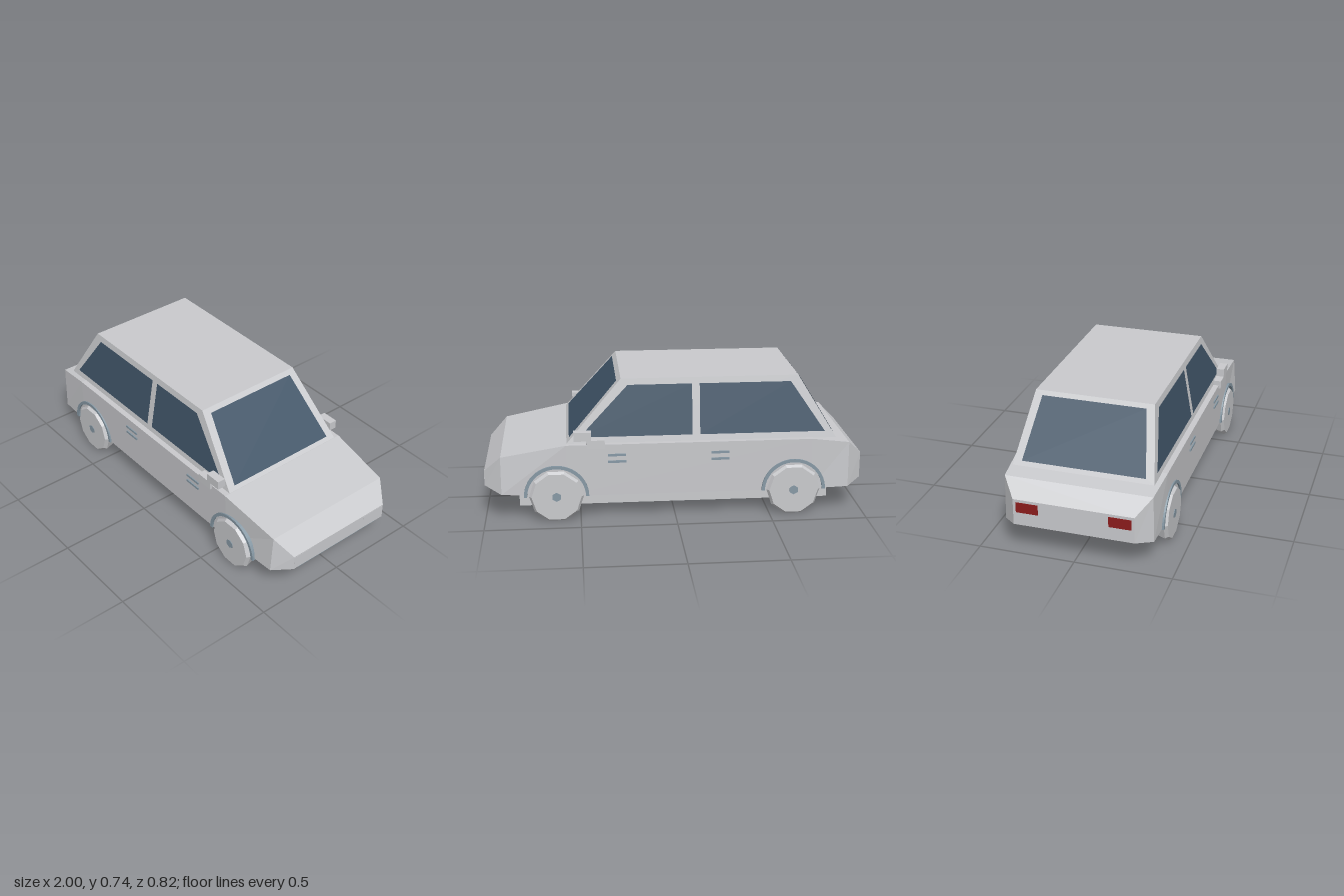
import * as THREE from 'three';

const paint = new THREE.MeshStandardMaterial({ color: 0xc9cacd });
paint.name = 'paleGreyPaint';
const glass = new THREE.MeshStandardMaterial({ color: 0x3f5467, side: THREE.DoubleSide });
glass.name = 'blueGlass';
const trim = new THREE.MeshStandardMaterial({ color: 0x8799a5 });
trim.name = 'blueGreyTrim';
const red = new THREE.MeshStandardMaterial({ color: 0x8c1c1c });
red.name = 'redLamp';

// Flat-faced geometry from triangles of points
function facets(points) {
  const g = new THREE.BufferGeometry();
  g.setAttribute('position', new THREE.Float32BufferAttribute(points.flat(), 3));
  g.computeVertexNormals();
  return g;
}
const quad = (a, b, c, d) => [a, b, c, a, c, d];

// Closed skin through four-cornered sections, ordered from rear to front
function loft(sections) {
  const tris = [];
  for (let i = 0; i < sections.length - 1; i++) {
    const p = sections[i], q = sections[i + 1];
    for (let j = 0; j < 4; j++) {
      const k = (j + 1) % 4;
      tris.push(...quad(p[j], q[j], q[k], p[k]));
    }
  }
  tris.push(...quad(...sections[0]));
  tris.push(...quad(...[...sections[sections.length - 1]].reverse()));
  return facets(tris);
}

export function createModel() {
  const car = new THREE.Group();
  car.name = 'car';

  const add = (name, geometry, material, parent = car) => {
    const mesh = new THREE.Mesh(geometry, material);
    mesh.name = name;
    parent.add(mesh);
    return mesh;
  };
  // Box given by its extents
  const box = (name, material, x0, x1, y0, y1, z0, z1) => {
    const m = add(name, new THREE.BoxGeometry(x1 - x0, y1 - y0, Math.abs(z1 - z0)), material);
    m.position.set((x0 + x1) / 2, (y0 + y1) / 2, (z0 + z1) / 2);
    return m;
  };

  // Lower body: x, bottom y, bottom half width, top y, top half width
  const body = [
    [-1, 0.165, 0.31, 0.305, 0.31],
    [-0.92, 0.14, 0.385, 0.385, 0.38],
    [-0.72, 0.135, 0.39, 0.413, 0.395],
    [0.57, 0.135, 0.39, 0.413, 0.395],
    [0.91, 0.15, 0.385, 0.35, 0.37],
    [1, 0.18, 0.31, 0.26, 0.31],
  ].map(([x, yb, wb, yt, wt]) => [[x, yb, wb], [x, yt, wt], [x, yt, -wt], [x, yb, -wb]]);
  add('body', loft(body), paint);
  box('underbody', paint, -0.82, 0.82, 0.065, 0.3, -0.325, 0.325);

  // Cabin
  const base = 0.41, roof = 0.74;
  const cabinEnd = (xb, xt) => [[xb, base, 0.365], [xt, roof, 0.307], [xt, roof, -0.307], [xb, base, -0.365]];
  add('cabin', loft([cabinEnd(-0.85, -0.65), cabinEnd(0.57, 0.28)]), paint);

  // Windows lie just proud of the sloping cabin faces
  const at = (y, low, high) => low + (high - low) * (y - base) / (roof - base);
  const endPane = (name, low, high, dir) => {
    const p = (y, z) => [at(y, low, high) + dir * 0.004, y, z * dir];
    add(name, facets(quad(p(0.433, 0.32), p(0.433, -0.32), p(0.72, -0.268), p(0.72, 0.268))), glass);
  };
  endPane('windscreen', 0.57, 0.28, 1);
  endPane('rearWindow', -0.85, -0.65, -1);

  const sidePane = (name, s, x0, x1, x2, x3) => {
    const p = (x, y) => [x, y, s * (at(y, 0.365, 0.307) + 0.003)];
    const corners = [p(x0, 0.445), p(x1, 0.445), p(x2, 0.708), p(x3, 0.708)];
    if (s < 0) corners.reverse();
    add(name, facets(quad(...corners)), glass);
  };

  // Ten-sided wheel and half-ring arch trim
  const wheelProfile = [[0, 0.335], [0.128, 0.335], [0.143, 0.39], [0.13, 0.408], [0, 0.408]]
    .map(([r, y]) => new THREE.Vector2(r, y));
  const wheelGeo = new THREE.LatheGeometry(wheelProfile, 10, Math.PI / 10).toNonIndexed();
  wheelGeo.computeVertexNormals();
  const hubGeo = new THREE.CylinderGeometry(0.025, 0.025, 0.012, 6);
  hubGeo.translate(0, 0.405, 0);
  const arch = new THREE.Shape();
  arch.absarc(0, 0, 0.17, 0, Math.PI, false);
  arch.absarc(0, 0, 0.153, Math.PI, 0, true);
  const archGeo = new THREE.ExtrudeGeometry(arch, { depth: 0.03, bevelEnabled: false, curveSegments: 12 });

  for (const s of [1, -1]) {
    const side = s > 0 ? 'left' : 'right';
    sidePane(side + 'RearSideWindow', s, -0.79, -0.13, -0.13, -0.61);
    sidePane(side + 'FrontSideWindow', s, -0.09, 0.5, 0.245, -0.09);

    for (const [end, x] of [['Front', 0.625], ['Rear', -0.625]]) {
      const wheel = new THREE.Group();
      wheel.name = side + end + 'Wheel';
      wheel.position.set(x, 0.137, 0);
      wheel.rotation.x = s * Math.PI / 2;
      car.add(wheel);
      add('tyre', wheelGeo, paint, wheel);
      add('hub', hubGeo, trim, wheel);
      add(side + end + 'ArchTrim', archGeo, trim).position.set(x, 0.135, s > 0 ? 0.37 : -0.4);
    }

    // Paired door bars
    for (const x of [-0.28, 0.26])
      for (const y of [0.314, 0.35]) box(side + 'DoorBar', trim, x, x + 0.095, y, y + 0.012, s * 0.38, s * 0.4);

    // Stepped door mirror
    box(side + 'MirrorArm', paint, 0.37, 0.465, 0.395, 0.44, s * 0.365, s * 0.408);
    box(side + 'MirrorHead', paint, 0.44, 0.53, 0.437, 0.484, s * 0.365, s * 0.408);

    // Lamps
    box(side + 'Headlight', paint, 0.995, 1.001, 0.213, 0.256, s * 0.172, s * 0.305);
    box(side + 'TailLight', red, -1.002, -0.994, 0.235, 0.29, s * 0.18, s * 0.295);
  }

  // Slim bar under the nose
  box('frontBar', trim, 0.95, 0.992, 0.166, 0.18, -0.268, 0.268);

  return car;
}
